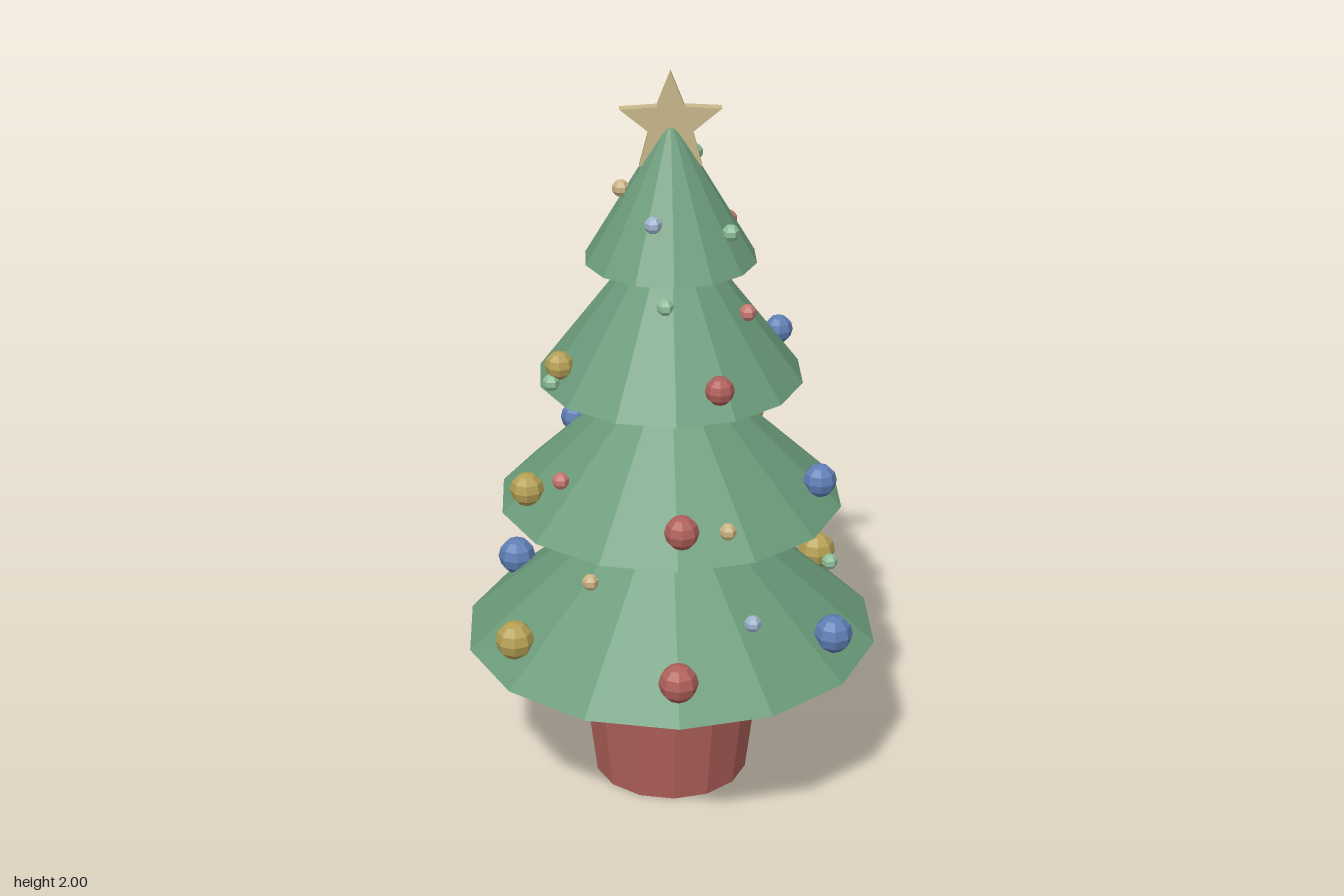
import * as THREE from 'three';

const mat = (color) => new THREE.MeshStandardMaterial({ color, flatShading: true });
const BIG = { red: mat(0xb0605a), blue: mat(0x5f7fb5), gold: mat(0xb5a055) };
const SMALL = { red: mat(0xc87a70), blue: mat(0x9fb5cf), green: mat(0x8fc09a), gold: mat(0xcbb585) };
const GREEN = mat(0x6b9b7a);

export function createModel() {
  const model = new THREE.Group();

  function add(name, geometry, material, x = 0, y = 0, z = 0, parent = model) {
    const mesh = new THREE.Mesh(geometry, material);
    mesh.name = name;
    mesh.position.set(x, y, z);
    parent.add(mesh);
    return mesh;
  }
  // Upright faceted cylinder or cone between two heights
  const column = (name, y0, y1, r0, r1, sides, material) =>
    add(name, new THREE.CylinderGeometry(r1, r0, y1 - y0, sides), material, 0, (y0 + y1) / 2);

  // Pot and trunk
  column('pot', 0, 0.255, 0.211, 0.242, 14, BIG.red);
  column('potRim', 0.255, 0.3, 0.255, 0.255, 14, BIG.gold);
  column('trunk', 0.29, 0.5, 0.063, 0.063, 8, mat(0x6f5a40));

  // Stacked cones of foliage: base height, top height, base radius
  [[0.43, 0.9, 0.56], [0.83, 1.25, 0.46], [1.18, 1.62, 0.35], [1.505, 1.855, 0.225]]
    .forEach(([y0, y1, r], i) => column(`foliageTier${i + 1}`, y0, y1, r, 0.018, 14, GREEN));

  // Five-pointed star
  const star = new THREE.Shape();
  for (let i = 0; i < 10; i++) {
    const r = i % 2 ? 0.059 : 0.136;
    const a = Math.PI / 2 + (i * Math.PI) / 5;
    star[i ? 'lineTo' : 'moveTo'](r * Math.cos(a), r * Math.sin(a));
  }
  star.closePath();
  const starGeometry = new THREE.ExtrudeGeometry(star, { depth: 0.03, bevelEnabled: false });
  starGeometry.translate(0, 0, -0.015);
  add('star', starGeometry, mat(0xc8b88a), 0, 1.864, 0);

  // Rings of large baubles near the rim of the lower three tiers
  const baubles = new THREE.Group();
  baubles.name = 'baubles';
  model.add(baubles);
  const rings = [
    { y: 0.525, r: 0.487, size: 0.052, turn: 0, colors: ['red', 'blue', 'gold', 'red', 'blue', 'gold'] },
    { y: 0.915, r: 0.405, size: 0.045, turn: 1.6, colors: ['red', 'blue', 'gold', 'blue', 'gold'] },
    { y: 1.255, r: 0.312, size: 0.038, turn: 21, colors: ['red', 'blue', 'blue', 'gold'] },
  ];
  for (const { y, r, size, turn, colors } of rings) {
    const ball = new THREE.SphereGeometry(size, 8, 6);
    colors.forEach((c, i) => {
      const a = THREE.MathUtils.degToRad(turn) + (i * 2 * Math.PI) / colors.length;
      add('bauble', ball, BIG[c], r * Math.sin(a), y, r * Math.cos(a), baubles);
    });
  }

  // Small lights scattered over the foliage
  const lights = new THREE.Group();
  lights.name = 'smallLights';
  model.add(lights);
  const bead = new THREE.SphereGeometry(0.023, 6, 5);
  const spots = {
    red: [[-0.02, 1.735, -0.1], [0.157, 1.56, -0.135], [0.195, 1.38, 0.08],
      [-0.293, 0.965, 0.195], [-0.225, 0.745, -0.1], [0, 0.48, -0.53]],
    blue: [[-0.05, 1.645, 0.143], [-0.116, 1.48, -0.09], [-0.175, 1.255, -0.235],
      [0.085, 1.08, -0.22], [0.2, 0.61, 0.335]],
    green: [[0.062, 1.775, 0.035 - 0.075], [0.148, 1.605, 0.098], [-0.02, 1.43, 0.16],
      [-0.313, 1.215, 0.13], [-0.215, 1.02, -0.18], [0.03, 0.805, -0.178], [0.447, 0.548, -0.125]],
    gold: [[-0.127, 1.69, -0.012], [0.15, 1.325, -0.2], [0.175, 1.14, 0.03],
      [0.13, 0.905, 0.385], [-0.22, 0.675, 0.21]],
  };
  for (const [c, points] of Object.entries(spots))
    for (const p of points) add('smallLight', bead, SMALL[c], ...p, lights);

  return model;
}
